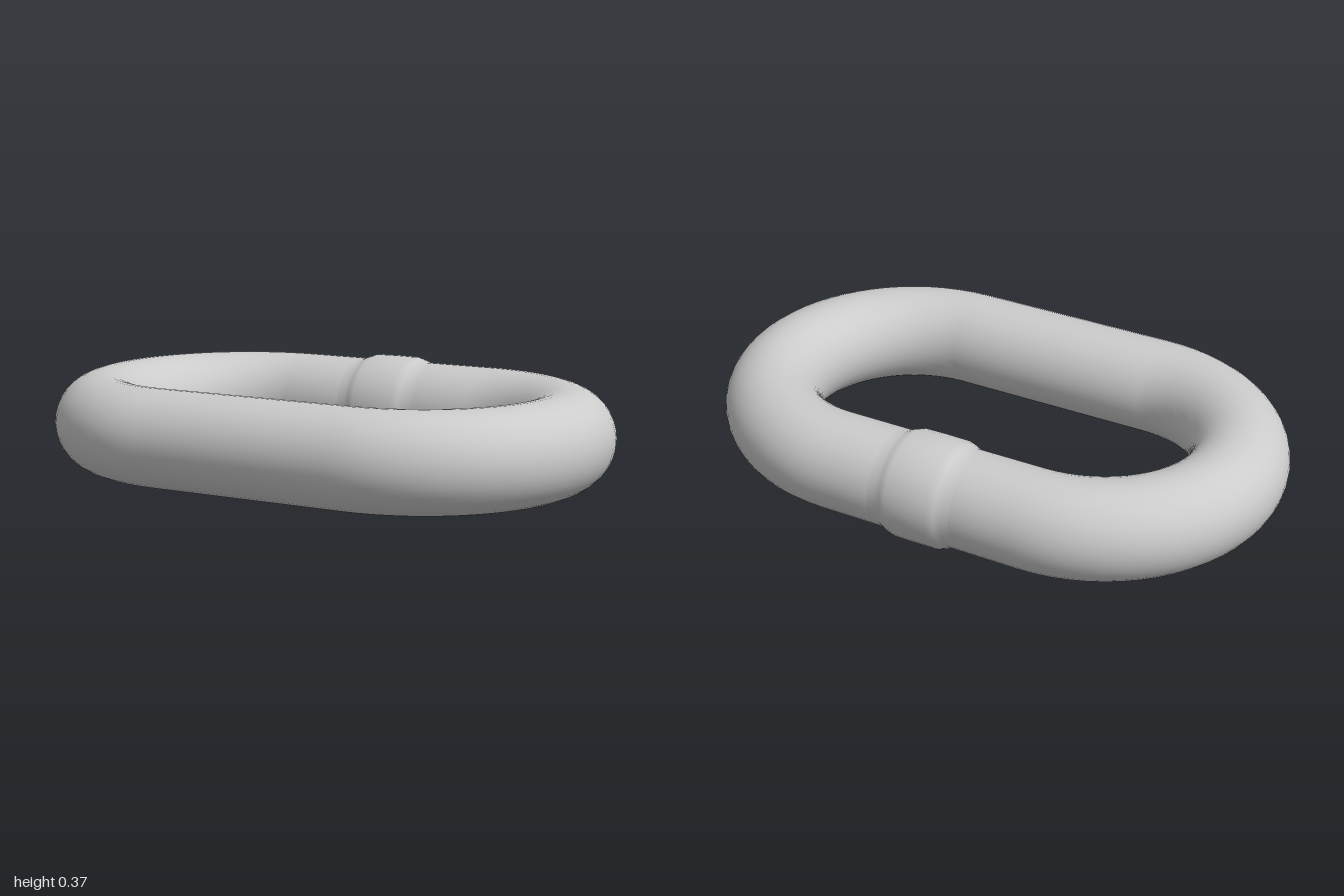
import * as THREE from 'three';

const SIDES = 36;
const BAR = 0.165;      // bar radius
const BEND = 0.474;     // centreline radius of the rounded ends
const HALF = 0.361;     // half length of the straight sides
const WELD_END = 0.15;

// Sweeps a round section along stations { x, z, a, r }; a is the outward direction in the xz plane
function sweep(stations) {
  const pos = [], index = [];
  stations.forEach(({ x, z, a, r }, i) => {
    for (let j = 0; j < SIDES; j++) {
      const p = (j / SIDES) * Math.PI * 2;
      const out = r * Math.cos(p);
      pos.push(x + out * Math.cos(a), r * Math.sin(p), z + out * Math.sin(a));
      if (i === 0) continue;
      const k = (j + 1) % SIDES, lo = (i - 1) * SIDES, hi = i * SIDES;
      index.push(lo + j, lo + k, hi + k, lo + j, hi + k, hi + j);
    }
  });
  const geo = new THREE.BufferGeometry();
  geo.setAttribute('position', new THREE.Float32BufferAttribute(pos, 3));
  geo.setIndex(index);
  geo.computeVertexNormals();
  return geo;
}

export function createModel() {
  const group = new THREE.Group();
  const material = new THREE.MeshStandardMaterial({ color: 0xcccccc });
  const back = (x, r) => ({ x, z: -BEND, a: -Math.PI / 2, r });

  // Oval bar, open where the weld sits
  const bar = [back(WELD_END, BAR), back(0.26, BAR)];
  const steps = 32;
  for (const side of [1, -1]) {
    for (let i = 0; i <= steps; i++) {
      const a = (side > 0 ? -0.5 : 0.5) * Math.PI + (i / steps) * Math.PI;
      bar.push({ x: side * HALF + BEND * Math.cos(a), z: BEND * Math.sin(a), a, r: BAR });
    }
  }
  bar.push(back(-0.26, BAR), back(-WELD_END, BAR));
  const link = new THREE.Mesh(sweep(bar), material);
  link.name = 'linkBar';

  // Raised weld collar closing the back side
  const half = [[WELD_END, BAR], [0.12, BAR], [0.1, 0.174], [0.075, 0.182]];
  const collar = [
    ...half.map(([x, r]) => back(-x, r)),
    back(0, 0.183),
    ...half.slice().reverse().map(([x, r]) => back(x, r)),
  ];
  const weld = new THREE.Mesh(sweep(collar), material);
  weld.name = 'weldCollar';

  group.add(link, weld);

  // The link lies very slightly tilted
  group.position.set(0, 0.191, 0.004);
  group.rotation.set(-0.01, 0, 0.012);
  const root = new THREE.Group();
  root.name = 'chainLink';
  root.add(group);
  return root;
}
